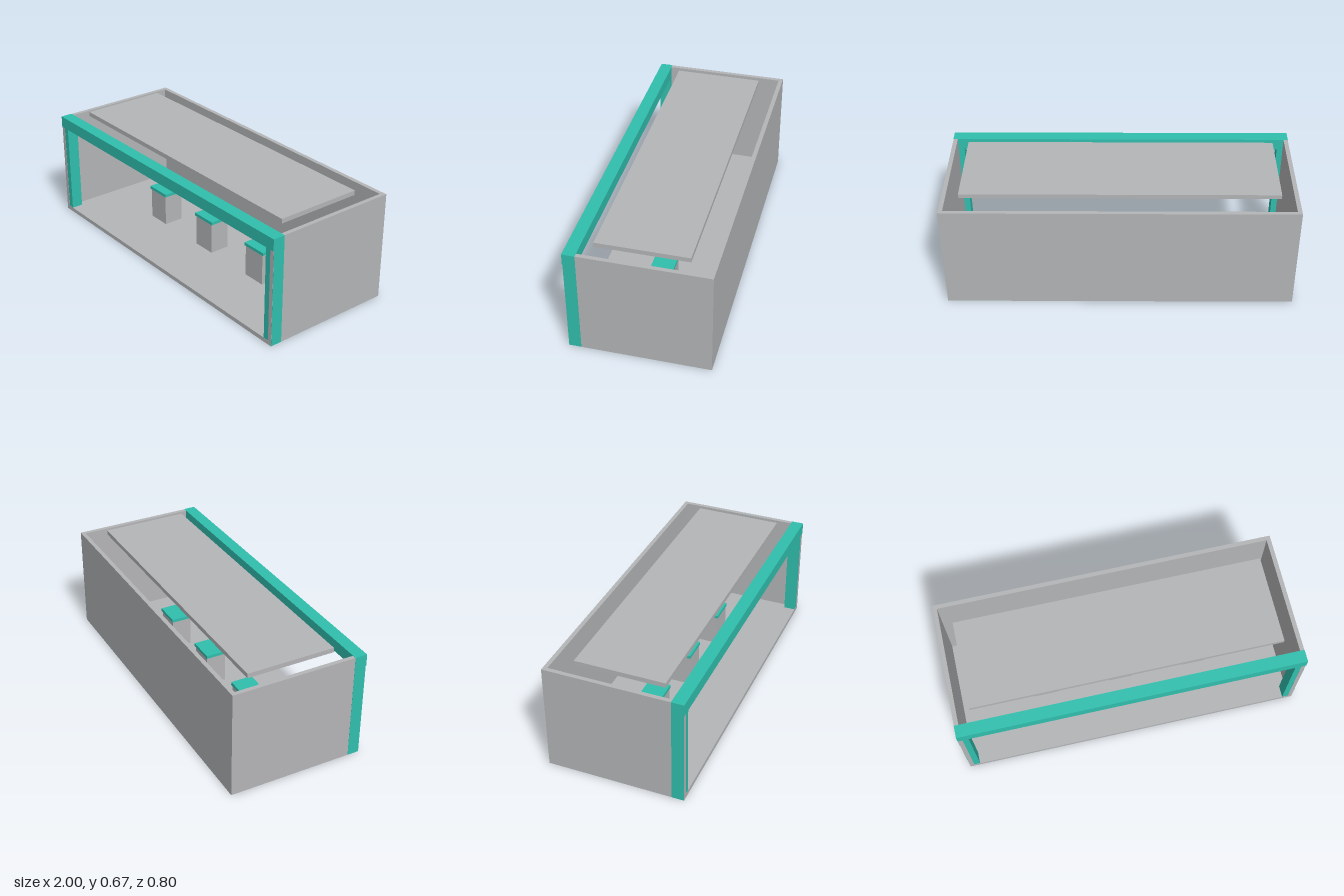
import * as THREE from 'three';

export function createModel() {
  const model = new THREE.Group();
  model.name = 'marketStall';

  const grey = new THREE.MeshStandardMaterial({ color: 0xb4b5b7 });
  grey.name = 'concrete grey';
  const teal = new THREE.MeshStandardMaterial({ color: 0x30bfae });
  teal.name = 'teal trim';

  // Box given by its lower and upper corners
  function box(name, material, [x0, y0, z0], [x1, y1, z1], parent = model) {
    const geometry = new THREE.BoxGeometry(x1 - x0, y1 - y0, z1 - z0);
    const mesh = new THREE.Mesh(geometry, material);
    mesh.position.set((x0 + x1) / 2, (y0 + y1) / 2, (z0 + z1) / 2);
    mesh.name = name;
    parent.add(mesh);
    return mesh;
  }

  // Open shell: floor, back wall and two side walls
  const t = 0.025;
  box('floor', grey, [-1, 0, -0.4], [1, t, 0.4]);
  box('backWall', grey, [-1 + t, t, -0.4], [1 - t, 0.64, -0.4 + t]);
  box('rightWall', grey, [-1, t, -0.4], [-1 + t, 0.64, 0.4]);
  box('leftWall', grey, [1 - t, t, -0.4], [1, 0.64, 0.4]);

  // Raised roof panel
  box('roofPanel', grey, [-0.9, 0.64, -0.26], [0.9, 0.667, 0.26]);

  // Front frame: posts wrap the outer faces of the side walls, beam caps them
  box('rightPost', teal, [-1.001, 0.001, 0.33], [-0.94, 0.575, 0.399]);
  box('leftPost', teal, [0.94, 0.001, 0.33], [1.001, 0.575, 0.399]);
  box('frontBeam', teal, [-1.001, 0.572, 0.33], [1.001, 0.641, 0.402]);

  // Three display stands with coloured tops
  for (const x of [-0.46, 0, 0.46]) {
    const stand = new THREE.Group();
    stand.name = 'displayStand';
    stand.position.x = x;
    box('pedestal', grey, [-0.0725, t, -0.061], [0.0725, 0.215, 0.061], stand);
    box('standTop', teal, [-0.08, 0.215, -0.065], [0.08, 0.234, 0.065], stand);
    model.add(stand);
  }

  return model;
}
